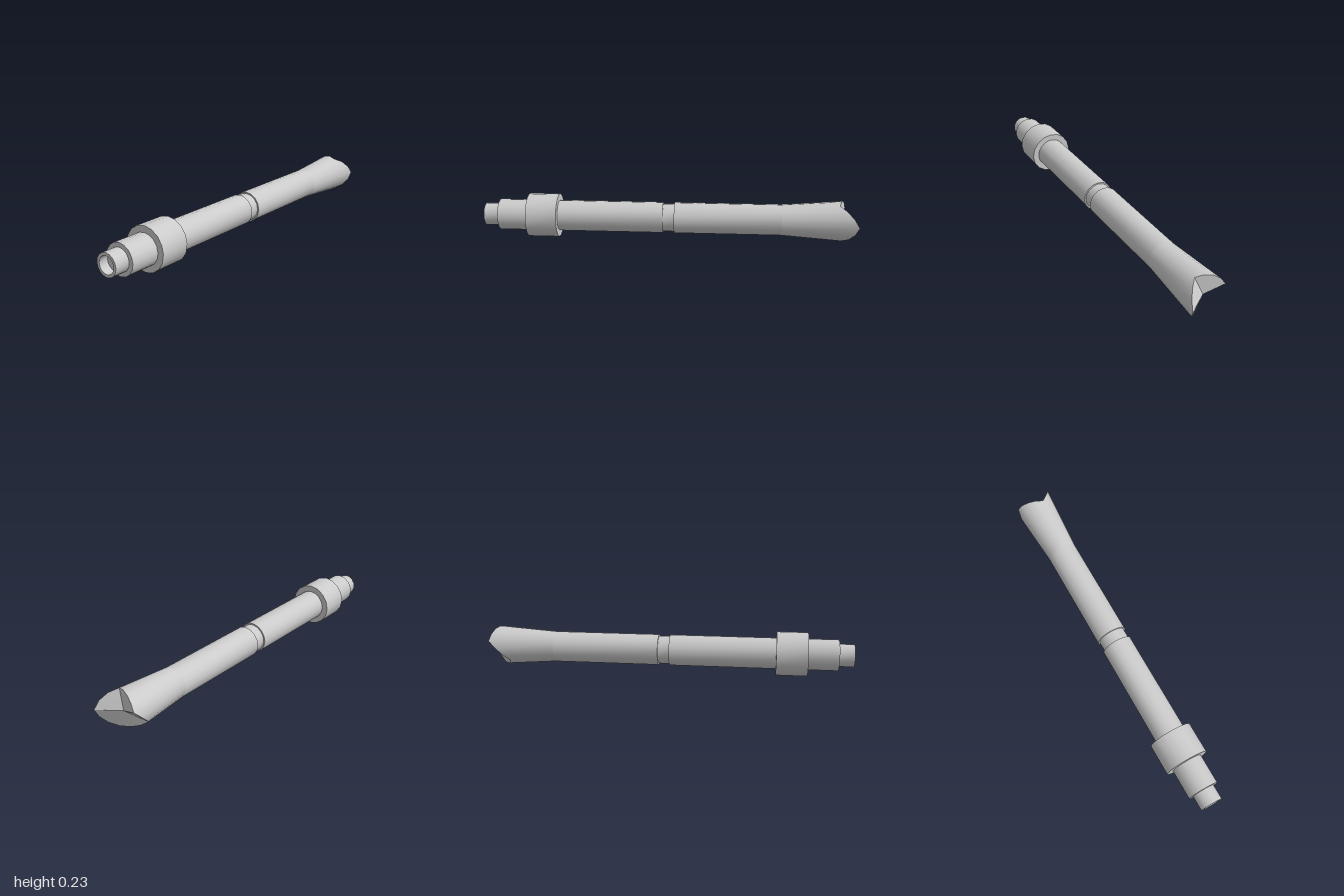
import * as THREE from 'three';
import { toCreasedNormals } from 'three/addons/utils/BufferGeometryUtils.js';

const SIDES = 16, AXIS_Y = 0.117;
const material = new THREE.MeshStandardMaterial({ color: 0xcccccc });

function part(name, geometry) {
  const mesh = new THREE.Mesh(toCreasedNormals(geometry, 0.5), material);
  mesh.name = name;
  return mesh;
}

// Turned part along z; profile is a list of [radius, z]
function turned(name, profile) {
  const geometry = new THREE.LatheGeometry(profile.map(([r, z]) => new THREE.Vector2(r, z)), SIDES);
  return part(name, geometry.rotateX(Math.PI / 2));
}

// Flared tail whose end is cut by flat facets meeting on the axis
function flaredTail() {
  const startZ = -0.6, centreZ = -0.922, startR = 0.083, rimR = 0.107;
  // rim corners of the facets: [side index, z offset from the centre]
  const corners = [[0, -0.078], [3, 0.02], [7, -0.03], [10, 0.08], [16, -0.078]];
  const angle = (i) => (i / SIDES) * Math.PI * 2;
  const rim = [];
  for (let k = 0; k < corners.length - 1; k++) {
    const [i0, d0] = corners[k], [i1, d1] = corners[k + 1];
    const span = Math.sin(angle(i1 - i0));
    for (let i = i0; i < i1; i++) {
      // points on the plane through the centre and both corners
      const dz = (d0 * Math.sin(angle(i1 - i)) + d1 * Math.sin(angle(i - i0))) / span;
      const z = centreZ + dz;
      const r = startR + (startZ - z) * (rimR - startR) / 0.33;
      rim.push([r * Math.cos(angle(i)), r * Math.sin(angle(i)), z]);
    }
  }
  const positions = [];
  const centre = [0, 0, centreZ];
  const start = (i) => [startR * Math.cos(angle(i)), startR * Math.sin(angle(i)), startZ];
  for (let i = 0; i < SIDES; i++) {
    const j = (i + 1) % SIDES;
    positions.push(...start(i), ...rim[i], ...rim[j]);
    positions.push(...start(i), ...rim[j], ...start(j));
    positions.push(...centre, ...rim[j], ...rim[i]);
  }
  const geometry = new THREE.BufferGeometry();
  geometry.setAttribute('position', new THREE.Float32BufferAttribute(positions, 3));
  return part('flaredTail', geometry);
}

export function createModel() {
  const group = new THREE.Group();
  group.name = 'handle';

  // Shaft with a waist groove and a stepped, hollow nozzle
  group.add(turned('shaft', [
    [0.083, -0.6], [0.083, -0.03], [0.075, -0.03], [0.075, 0.03], [0.083, 0.03],
    [0.083, 0.92], [0.06, 0.92], [0.06, 1], [0.045, 1], [0.045, 0.95], [0, 0.95],
  ]));

  // Wide collar around the shaft
  group.add(turned('collar', [[0.083, 0.595], [0.117, 0.595], [0.117, 0.76], [0.083, 0.76]]));

  group.add(flaredTail());
  for (const mesh of group.children) mesh.position.y = AXIS_Y;
  return group;
}
